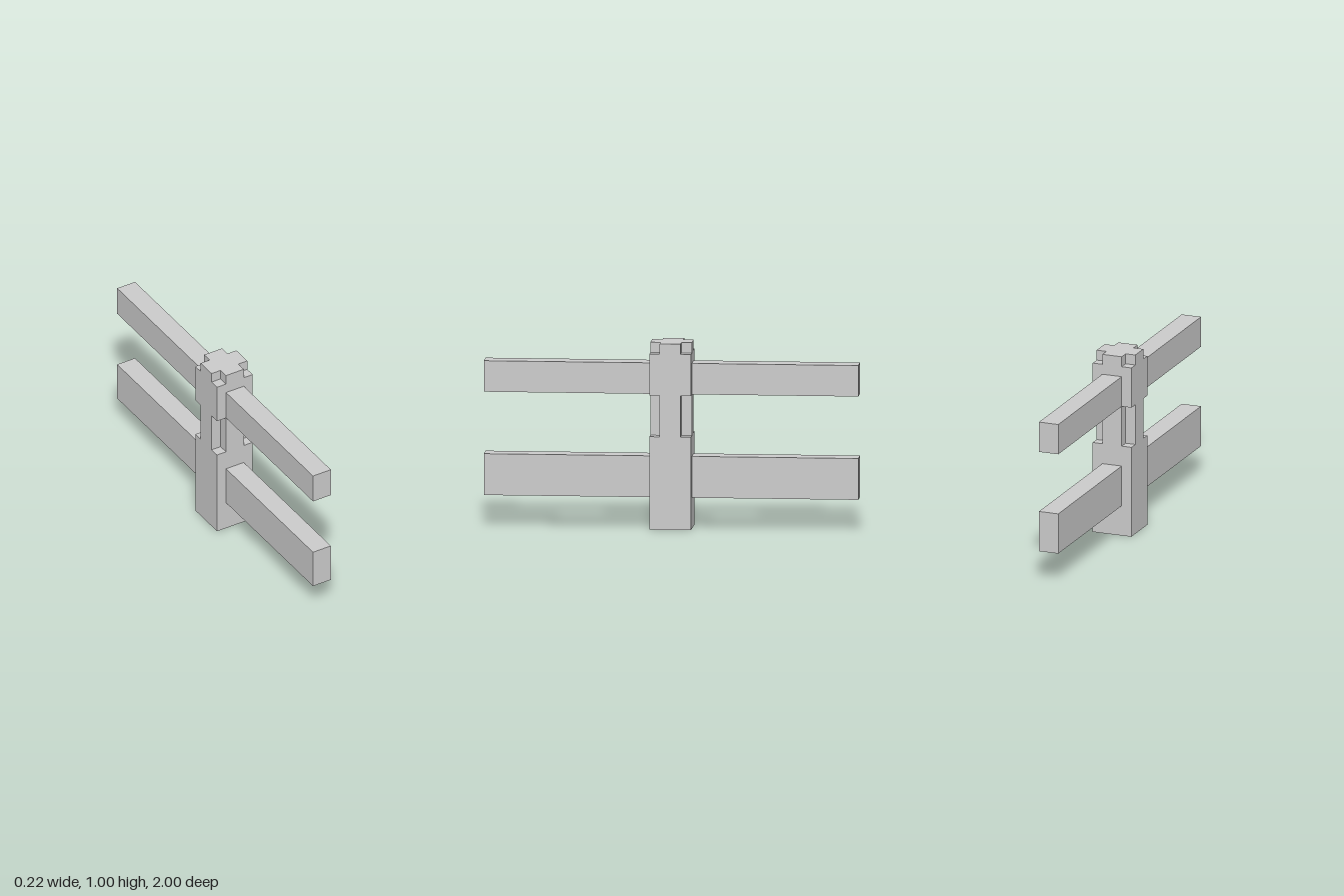
import * as THREE from 'three';

const U = 1 / 18; // modelling unit
const material = new THREE.MeshStandardMaterial({ color: 0xcccccc, flatShading: true });

// Square outline, half width 2 units
const square = [[-2, -2], [2, -2], [2, 2], [-2, 2]];
// The same square with its four corners notched
const cross = [
  [-1, -2], [1, -2], [1, -1], [2, -1], [2, 1], [1, 1],
  [1, 2], [-1, 2], [-1, 1], [-2, 1], [-2, -1], [-1, -1],
];

// Upright prism between heights y0 and y1
function postSection(name, outline, y0, y1) {
  const shape = new THREE.Shape(outline.map(([x, y]) => new THREE.Vector2(x * U, y * U)));
  const geometry = new THREE.ExtrudeGeometry(shape, { depth: (y1 - y0) * U, bevelEnabled: false });
  geometry.rotateX(-Math.PI / 2);
  const mesh = new THREE.Mesh(geometry, material);
  mesh.name = name;
  mesh.position.y = y0 * U;
  return mesh;
}

// Half rail from the post face out to the end, on the side given by sign
function rail(name, y0, y1, sign) {
  const mesh = new THREE.Mesh(new THREE.BoxGeometry(2 * U, (y1 - y0) * U, 16 * U), material);
  mesh.name = name;
  mesh.position.set(0, ((y0 + y1) / 2) * U, sign * 10 * U);
  return mesh;
}

export function createModel() {
  const model = new THREE.Group();
  model.name = 'fence';

  // Post, from the ground up
  const post = new THREE.Group();
  post.name = 'post';
  post.add(
    postSection('postBase', square, 0, 9),
    postSection('postNeck', cross, 9, 13),
    postSection('postHead', square, 13, 17),
    postSection('postCap', cross, 17, 18),
  );
  model.add(post);

  // Rails, front and back
  for (const [side, sign] of [['front', 1], ['back', -1]]) {
    model.add(rail(`${side}LowerRail`, 3, 7, sign));
    model.add(rail(`${side}UpperRail`, 13, 16, sign));
  }
  return model;
}
